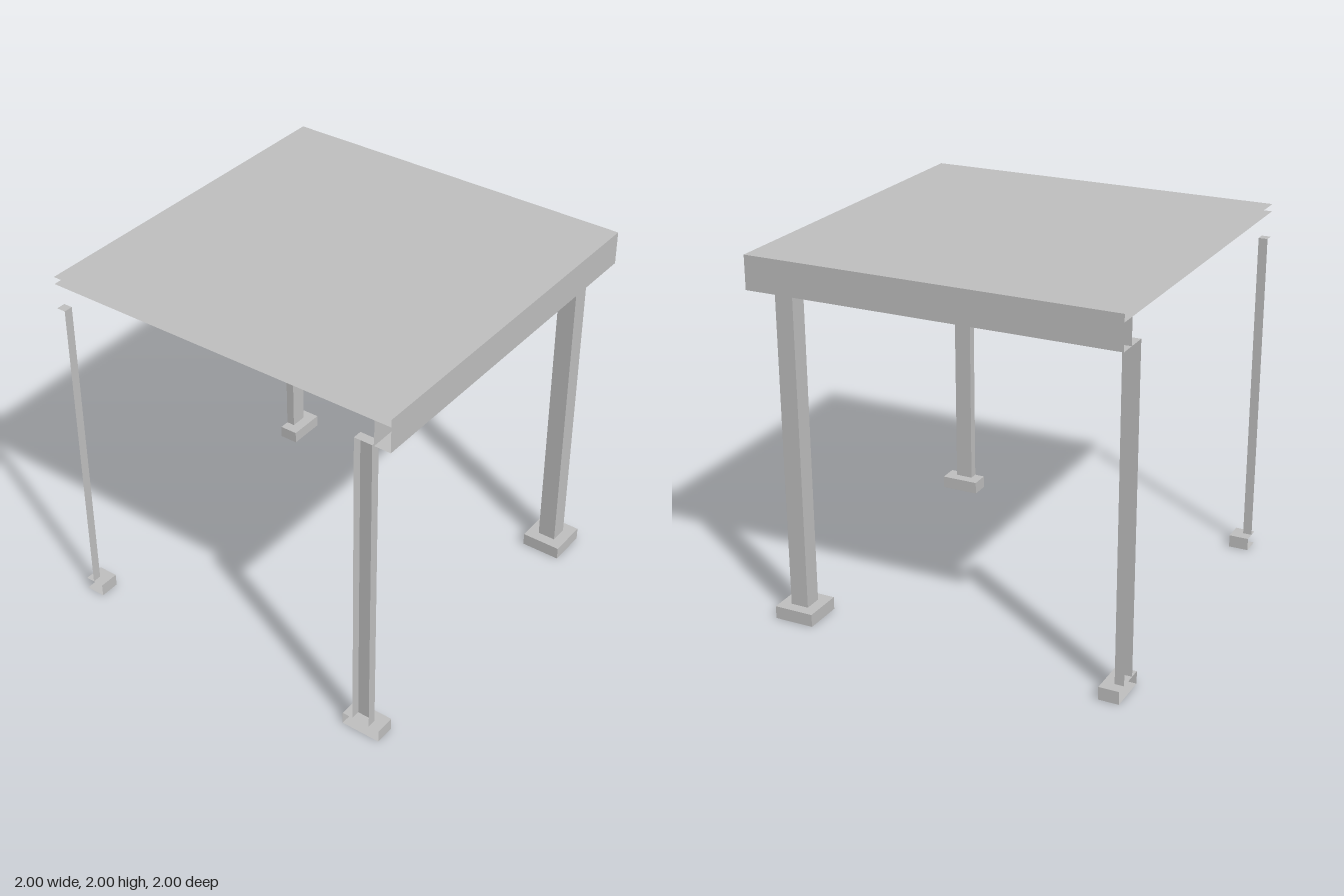
import * as THREE from 'three';

const FACES = ['px', 'nx', 'py', 'ny', 'pz', 'nz']; // order of box sides

// Hollow box between two corners, leaving out the sides named in open
function openBox(min, max, open = []) {
  const size = max.map((v, i) => v - min[i]);
  const g = new THREE.BoxGeometry(...size);
  g.translate(...min.map((v, i) => (v + max[i]) / 2));
  const all = Array.from(g.index.array);
  const kept = FACES.flatMap((f, i) => (open.includes(f) ? [] : all.slice(i * 6, i * 6 + 6)));
  g.setIndex(kept);
  g.clearGroups();
  return g;
}

// Move every vertex at (x, z) to (toX, toZ), to cut a mitre
function mitre(g, x, z, toX, toZ) {
  const p = g.attributes.position;
  for (let i = 0; i < p.count; i++) {
    if (Math.abs(p.getX(i) - x) < 1e-4 && Math.abs(p.getZ(i) - z) < 1e-4) {
      p.setX(i, toX);
      p.setZ(i, toZ);
    }
  }
  g.computeVertexNormals();
  return g;
}

export function createModel() {
  const model = new THREE.Group();
  const grey = new THREE.MeshStandardMaterial({ color: 0xbfbfbf, side: THREE.DoubleSide });
  grey.name = 'grey';
  const add = (parent, name, geometry) => {
    const mesh = new THREE.Mesh(geometry, grey);
    mesh.name = name;
    parent.add(mesh);
  };

  const slabY = 1.96, beamY = 1.82, footY = 0.07, inner = 0.91;

  // Roof slab, open along the front and the -x side
  add(model, 'roofSlab', openBox([-1, slabY, -1], [1, 2, 1], ['nx', 'pz']));

  // Edge beams, meeting in a mitre at the back corner
  const sideBeam = openBox([inner, beamY, -1], [1, slabY, 1], ['py', 'pz']);
  add(model, 'sideBeam', mitre(sideBeam, inner, -1, inner, -inner));
  const backBeam = openBox([-1, beamY, -1], [1, slabY, -inner], ['py', 'nx', 'px']);
  add(model, 'backBeam', mitre(backBeam, 1, -inner, inner, -inner));

  // Posts on square feet; those on the open sides are cut through the middle
  for (const x of [-1, 0.85]) {
    for (const z of [1, -0.85]) {
      const open = [];
      if (x === -1) open.push('nx');
      if (z === 1) open.push('pz');
      const block = (half, y0, y1, extra = []) => openBox(
        [Math.max(-1, x - half), y0, z - half],
        [x + half, y1, Math.min(1, z + half)],
        [...open, ...extra]
      );
      const post = new THREE.Group();
      post.name = 'post';
      add(post, 'shaft', block(0.05, footY, beamY, ['ny']));
      add(post, 'foot', block(0.11, 0, footY));
      model.add(post);
    }
  }
  return model;
}
